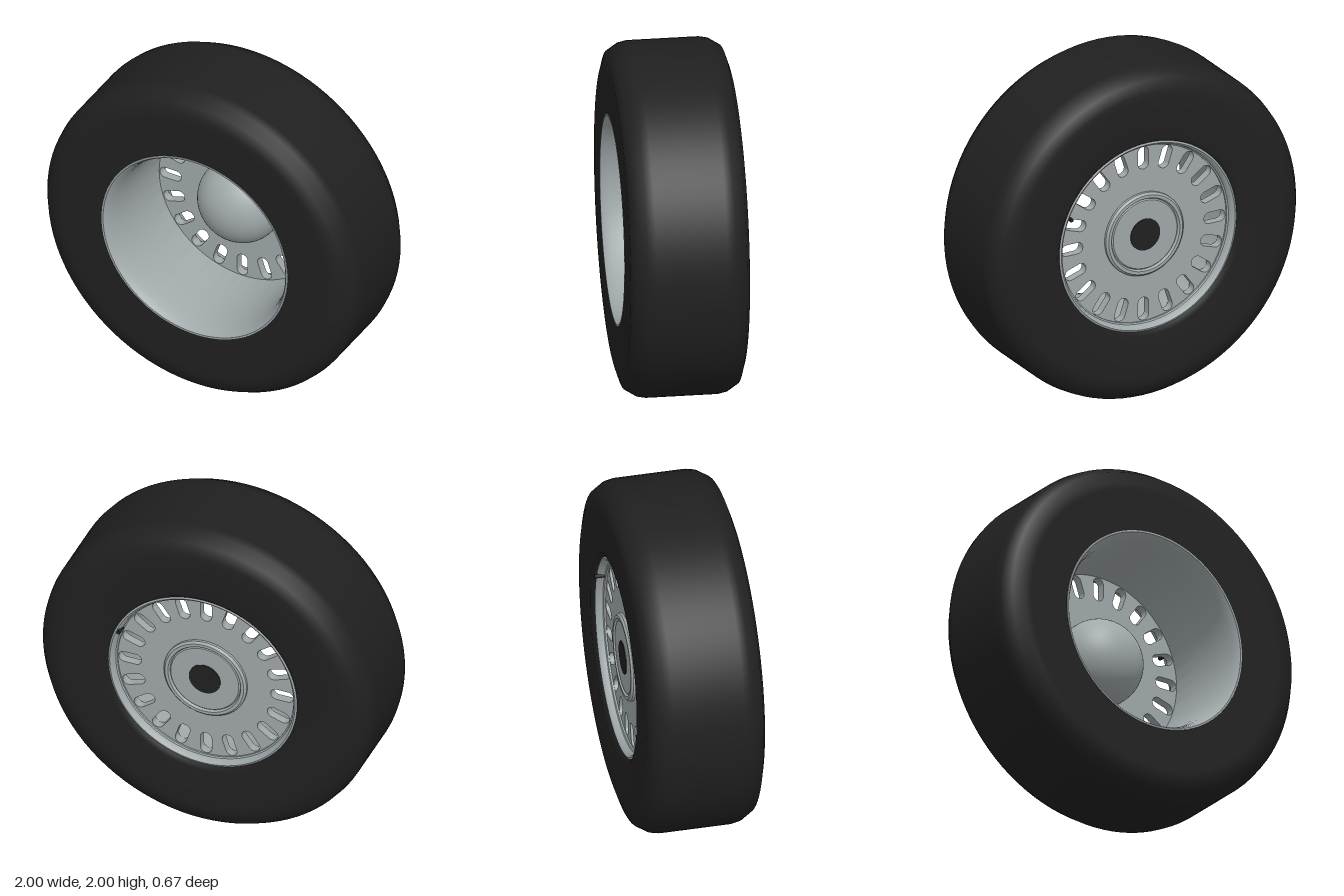
import * as THREE from 'three';
import { toCreasedNormals } from 'three/addons/utils/BufferGeometryUtils.js';

const CENTRE_Y = 1;
const SLOTS = 20;

export function createModel() {
  const rubber = new THREE.MeshStandardMaterial({ name: 'black rubber', color: 0x202020 });
  const metal = new THREE.MeshStandardMaterial({ name: 'grey metal', color: 0xa0a8aa });

  const wheel = new THREE.Group();
  wheel.name = 'wheel';
  wheel.position.y = CENTRE_Y;

  const add = (name, geometry, material, x = 0, y = 0, z = 0) => {
    const mesh = new THREE.Mesh(geometry, material);
    mesh.name = name;
    mesh.position.set(x, y, z);
    wheel.add(mesh);
    return mesh;
  };

  // Spins a profile of [radius, z] pairs round the axle
  const spin = (profile, crease) => {
    const points = profile.map(([r, z]) => new THREE.Vector2(r, z));
    const geometry = new THREE.LatheGeometry(points, 96).rotateX(Math.PI / 2);
    return crease ? toCreasedNormals(geometry, crease) : geometry;
  };

  // Tyre: flat sidewalls, rounded shoulders, flat tread
  const half = [[1, 0.2], [0.99, 0.25], [0.95, 0.313], [0.88, 0.335], [0.84, 0.335], [0.595, 0.335]];
  const back = half.map(([r, z]) => [r, -z]).reverse();
  back.unshift([0.56, -0.3]);
  add('tyre', spin([...back, ...half]), rubber);

  // Rim: rolled front lip, deep barrel and short back flange
  add('rim', spin([
    [0.6, 0.33], [0.595, 0.337], [0.585, 0.337], [0.575, 0.325], [0.562, 0.29],
    [0.55, 0.24], [0.54, 0.15], [0.535, 0], [0.532, -0.27],
    [0.54, -0.275], [0.548, -0.305], [0.56, -0.315], [0.572, -0.31],
  ], 0.7), metal);

  // Slotted disc near the back of the barrel
  const disc = new THREE.Shape().absarc(0, 0, 0.54, 0, Math.PI * 2, false);
  const width = 0.034, inner = 0.39 + width, outer = 0.528 - width;
  for (let i = 0; i < SLOTS; i++) {
    const a = (i / SLOTS) * Math.PI * 2;
    const c = Math.cos(a), s = Math.sin(a);
    const slot = new THREE.Path();
    slot.absarc(c * outer, s * outer, width, a - Math.PI / 2, a + Math.PI / 2, false);
    slot.absarc(c * inner, s * inner, width, a + Math.PI / 2, a + Math.PI * 1.5, false);
    slot.closePath();
    disc.holes.push(slot);
  }
  const discGeometry = new THREE.ExtrudeGeometry(disc, { depth: 0.05, bevelEnabled: false, curveSegments: 24 });
  add('slottedDisc', toCreasedNormals(discGeometry, 0.6), metal, 0, 0, -0.26);

  // Hub dome inside the dish
  const dome = [[0.25, -0.22], [0.25, -0.19]];
  for (let i = 1; i <= 16; i++) {
    const t = (i / 16) * Math.PI / 2;
    dome.push([i === 16 ? 0 : 0.25 * Math.cos(t), -0.19 + 0.22 * Math.sin(t)]);
  }
  add('hubDome', spin(dome), metal);

  // Hub plate with raised ring on the back, and the dark axle bore
  add('hubPlate', spin([
    [0, -0.28], [0.205, -0.28], [0.212, -0.273], [0.22, -0.287], [0.238, -0.287], [0.25, -0.275], [0.25, -0.255],
  ], 0.5), metal);
  const bore = new THREE.CylinderGeometry(0.095, 0.095, 0.006, 48).rotateX(Math.PI / 2);
  add('axleBore', bore, rubber, 0, 0, -0.281);

  // Valve stem at the back flange
  const angle = THREE.MathUtils.degToRad(23);
  const valve = new THREE.CylinderGeometry(0.012, 0.012, 0.07, 12).rotateX(Math.PI / 2);
  add('valveStem', valve, rubber, Math.cos(angle) * 0.545, Math.sin(angle) * 0.545, -0.295);

  const model = new THREE.Group();
  model.name = 'wheelModel';
  model.add(wheel);
  return model;
}
